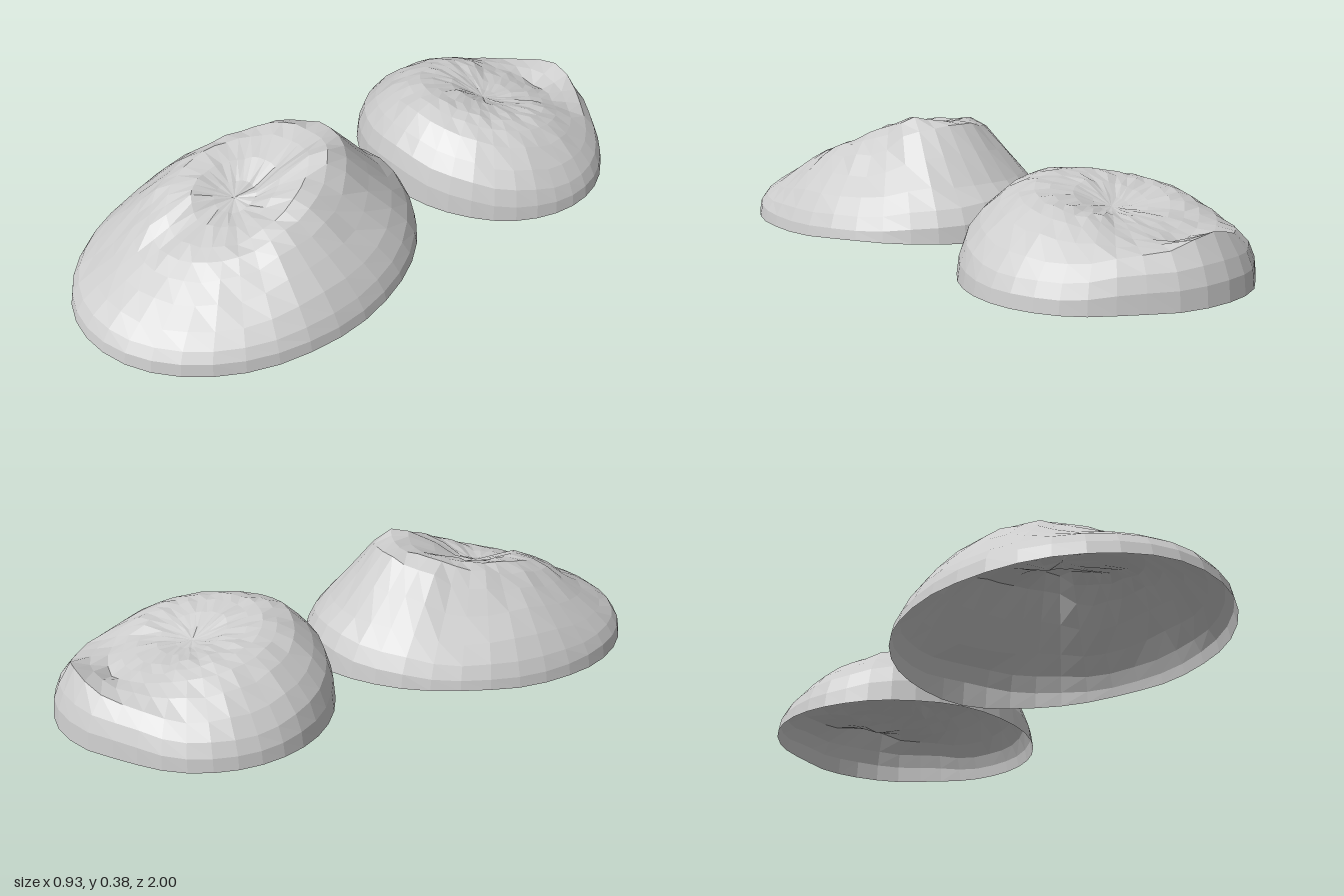
import * as THREE from 'three';

// Ring positions from the sunken middle (0) to the open rim (1)
const RINGS = [0.12, 0.25, 0.4, 0.5, 0.6, 0.72, 0.85, 0.94, 0.985, 1];
const SEGMENTS = 36;

// Ring heights every 30 degrees, starting at the front and turning towards +x
const FRONT_HEIGHTS = [
  [0.26, 0.245, 0.225, 0.205, 0.18, 0.15, 0.115, 0.08, 0.045, 0.01],
  [0.255, 0.25, 0.23, 0.21, 0.18, 0.145, 0.105, 0.075, 0.045, 0.005],
  [0.25, 0.25, 0.24, 0.23, 0.2, 0.155, 0.11, 0.075, 0.045, 0.005],
  [0.26, 0.27, 0.285, 0.275, 0.245, 0.2, 0.145, 0.09, 0.05, 0.015],
  [0.27, 0.31, 0.335, 0.31, 0.265, 0.205, 0.15, 0.1, 0.06, 0.03],
  [0.28, 0.33, 0.375, 0.385, 0.35, 0.27, 0.19, 0.13, 0.08, 0.03],
  [0.27, 0.31, 0.35, 0.365, 0.365, 0.28, 0.19, 0.15, 0.1, 0.02],
  [0.28, 0.32, 0.35, 0.365, 0.34, 0.27, 0.19, 0.13, 0.08, 0.03],
  [0.28, 0.31, 0.335, 0.33, 0.285, 0.215, 0.15, 0.1, 0.06, 0.03],
  [0.28, 0.31, 0.325, 0.3, 0.265, 0.22, 0.155, 0.095, 0.05, 0.015],
  [0.28, 0.305, 0.3, 0.275, 0.235, 0.185, 0.13, 0.085, 0.05, 0.005],
  [0.28, 0.295, 0.27, 0.24, 0.2, 0.155, 0.11, 0.08, 0.045, 0.005],
];
// Half a turn from front to back; the other side mirrors it
const BACK_HALF = [
  [0.235, 0.265, 0.275, 0.285, 0.28, 0.265, 0.215, 0.17, 0.11, 0.02],
  [0.23, 0.255, 0.27, 0.275, 0.265, 0.245, 0.195, 0.145, 0.085, 0.015],
  [0.22, 0.245, 0.255, 0.255, 0.245, 0.215, 0.165, 0.115, 0.06, 0.01],
  [0.215, 0.23, 0.24, 0.24, 0.225, 0.19, 0.14, 0.09, 0.05, 0.01],
  [0.205, 0.215, 0.225, 0.22, 0.205, 0.175, 0.13, 0.09, 0.05, 0.01],
  [0.2, 0.2, 0.195, 0.185, 0.175, 0.165, 0.155, 0.115, 0.07, 0.015],
  [0.2, 0.2, 0.185, 0.17, 0.15, 0.175, 0.2, 0.13, 0.08, 0.02],
];
const BACK_HEIGHTS = [...BACK_HALF, ...BACK_HALF.slice(1, -1).reverse()];

// Smooth blend between the two nearest directions
function heightAt(table, ring, turn) {
  const d = turn * table.length;
  const i = Math.floor(d);
  const t = 0.5 - 0.5 * Math.cos((d - i) * Math.PI);
  return THREE.MathUtils.lerp(table[i][ring], table[(i + 1) % table.length][ring], t);
}

// Open, hollow mound built as rings around a sunken middle
function mound({ name, table, centre, middle, widthX, front, back, flap }) {
  const points = [0, middle.y, middle.z];
  const faces = [];
  RINGS.forEach((s, ring) => {
    for (let k = 0; k < SEGMENTS; k++) {
      const a = (k / SEGMENTS) * Math.PI * 2;
      const c = Math.cos(a);
      // the tail flap pushes the outline out at the back
      const bulge = flap * Math.max(0, (-c - 0.85) / 0.15) ** 0.7;
      const reach = c > 0 ? front : back + bulge;
      // slight unevenness of the soft upper surface
      const wobble = 0.012 * s * (1 - s) * Math.sin(k * 2.3 + ring * 1.9);
      points.push(
        Math.sin(a) * widthX * s,
        heightAt(table, ring, k / SEGMENTS) + wobble,
        THREE.MathUtils.lerp(middle.z, centre, s) + c * reach * s,
      );
    }
  });
  const id = (ring, k) => 1 + ring * SEGMENTS + (k % SEGMENTS);
  for (let k = 0; k < SEGMENTS; k++) {
    faces.push(0, id(0, k), id(0, k + 1));
    for (let r = 0; r < RINGS.length - 1; r++) {
      faces.push(id(r, k), id(r + 1, k), id(r + 1, k + 1));
      faces.push(id(r, k), id(r + 1, k + 1), id(r, k + 1));
    }
  }
  const geometry = new THREE.BufferGeometry();
  geometry.setAttribute('position', new THREE.Float32BufferAttribute(points, 3));
  geometry.setIndex(faces);
  geometry.computeVertexNormals();
  const mesh = new THREE.Mesh(geometry, new THREE.MeshStandardMaterial({
    color: 0xcccccc, flatShading: true, side: THREE.DoubleSide,
  }));
  mesh.name = name;
  return mesh;
}

export function createModel() {
  const group = new THREE.Group();
  group.name = 'moundPair';
  group.add(
    // larger mound with a crest behind its crater
    mound({
      name: 'frontMound', table: FRONT_HEIGHTS, centre: 0.425, middle: { y: 0.265, z: 0.465 },
      widthX: 0.465, front: 0.575, back: 0.57, flap: 0,
    }),
    // smaller mound with a raised flap at its back
    mound({
      name: 'backMound', table: BACK_HEIGHTS, centre: -0.56, middle: { y: 0.205, z: -0.57 },
      widthX: 0.462, front: 0.41, back: 0.4, flap: 0.04,
    }),
  );
  return group;
}
